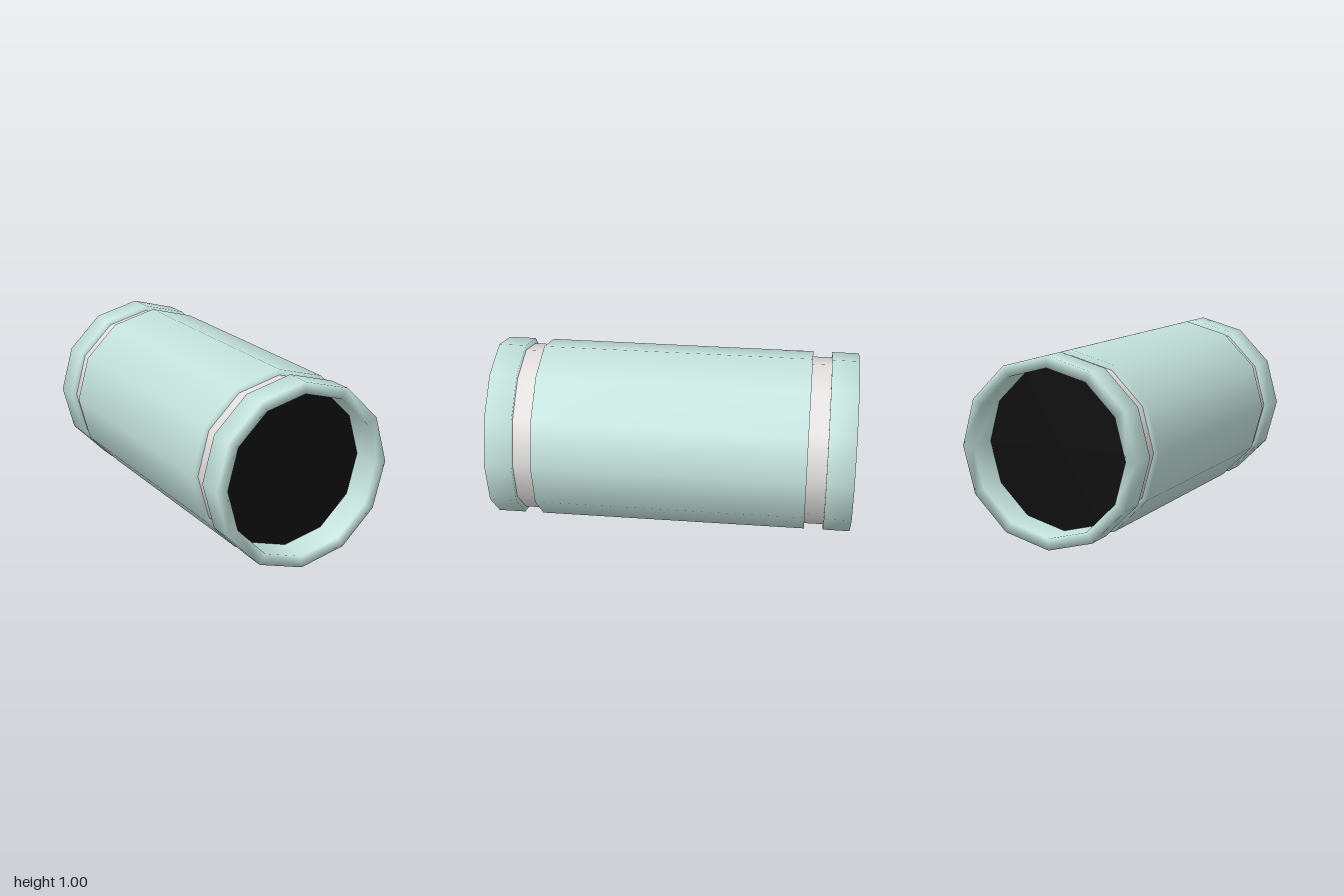
import * as THREE from 'three';

const SIDES = 12;
const RADIUS = 0.5;
const BORE = 0.4375;
const GROOVE = 0.47;

export function createModel() {
  const shell = new THREE.MeshStandardMaterial({ name: 'pale teal', color: 0xc3e1db });
  const band = new THREE.MeshStandardMaterial({ name: 'light grey', color: 0xe2dede });
  const dark = new THREE.MeshStandardMaterial({ name: 'black', color: 0x0c0c0c });

  // Smooth twelve-sided turning around the z axis; profile is [radius, z]
  const turned = (name, profile, material) => {
    const points = profile.map(([r, z]) => new THREE.Vector2(r, z));
    const geometry = new THREE.LatheGeometry(points, SIDES).rotateX(Math.PI / 2);
    const mesh = new THREE.Mesh(geometry, material);
    mesh.name = name;
    return mesh;
  };

  const model = new THREE.Group();
  model.name = 'pipe';

  // Long middle tube
  model.add(turned('body', [[0.45, -0.745], [RADIUS, -0.745], [RADIUS, 0.745], [0.45, 0.745]], shell));

  // Matching ends: groove, rim and recessed dark plug
  for (const [side, turn] of [['front', 0], ['back', Math.PI]]) {
    const end = new THREE.Group();
    end.name = side + 'End';

    // Concave band between body and rim
    end.add(turned('groove', [
      [GROOVE + 0.002, 0.744], [GROOVE, 0.744], [GROOVE, 0.851], [GROOVE + 0.002, 0.851],
    ], band));

    // Rim with a lip that folds back into the bore
    end.add(turned('rim', [
      [0.45, 0.85], [RADIUS, 0.85], [RADIUS, 1], [BORE, 1], [BORE, 0.83],
    ], shell));

    const plug = new THREE.Mesh(new THREE.CircleGeometry(BORE, SIDES), dark);
    plug.name = 'opening';
    plug.position.z = 0.832;
    end.add(plug);

    end.rotation.y = turn;
    model.add(end);
  }

  model.position.y = RADIUS;
  const root = new THREE.Group();
  root.name = 'pipeModel';
  root.add(model);
  return root;
}
